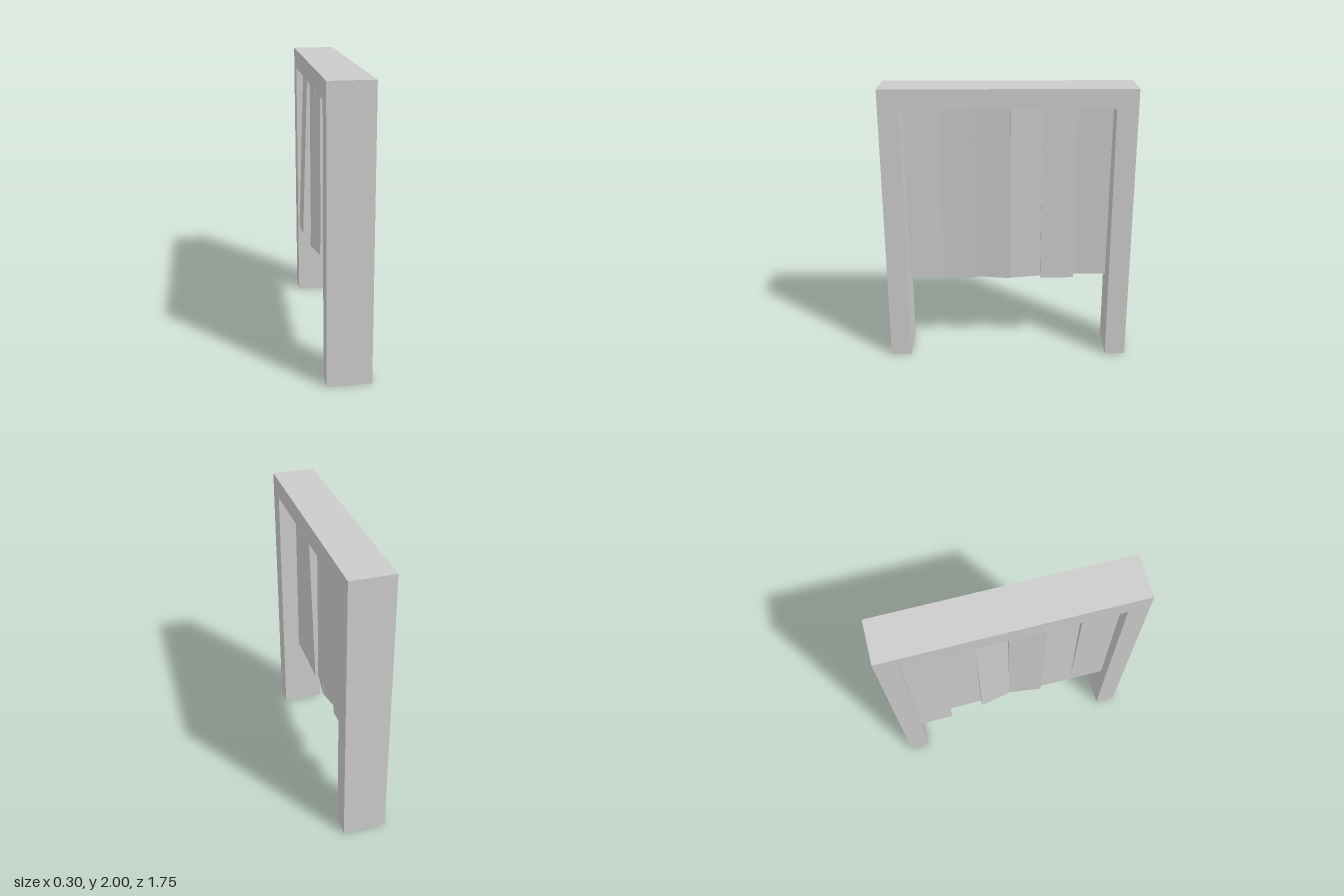
import * as THREE from 'three';

const material = new THREE.MeshStandardMaterial({ color: 0xcccccc, flatShading: true, side: THREE.DoubleSide });

// Rectangular section swept up one post, along the lintel and down the other; feet are open
function frameGeometry(halfDepth) {
  const outer = [[0.873, 0], [0.873, 2], [-0.873, 2], [-0.873, 0]];
  const inner = [[0.727, 0], [0.727, 1.863], [-0.727, 1.863], [-0.727, 0]];
  const positions = [];
  const index = [];
  outer.forEach(([oz, oy], i) => {
    const [iz, iy] = inner[i];
    positions.push(halfDepth, oy, oz, -halfDepth, oy, oz, -halfDepth, iy, iz, halfDepth, iy, iz);
    if (i === 3) return;
    for (let j = 0; j < 4; j++) {
      const a = i * 4 + j, b = i * 4 + (j + 1) % 4;
      index.push(b, a, a + 4, b, a + 4, b + 4);
    }
  });
  const indexed = new THREE.BufferGeometry();
  indexed.setAttribute('position', new THREE.Float32BufferAttribute(positions, 3));
  indexed.setIndex(index);
  const geometry = indexed.toNonIndexed();
  geometry.computeVertexNormals();
  return geometry;
}

// Box whose faces lean: face x is given at the +z and -z edges of the bottom, plus a lean towards the top
function plankGeometry(zStart, zEnd, xStart, xEnd, lean) {
  const thickness = 0.108, bottom = 0.573, top = 1.863;
  const geometry = new THREE.BoxGeometry(1, 1, 1);
  const p = geometry.attributes.position;
  for (let i = 0; i < p.count; i++) {
    const u = 0.5 - p.getZ(i), v = p.getY(i) + 0.5;
    const face = THREE.MathUtils.lerp(xStart, xEnd, u) + lean * v;
    p.setXYZ(i, face + (p.getX(i) - 0.5) * thickness,
      THREE.MathUtils.lerp(bottom, top, v), THREE.MathUtils.lerp(zStart, zEnd, u));
  }
  geometry.computeVertexNormals();
  return geometry;
}

export function createModel() {
  const model = new THREE.Group();
  model.name = 'plankDoorway';

  const frame = new THREE.Mesh(frameGeometry(0.152), material);
  frame.name = 'frame';
  model.add(frame);

  // Unevenly hung planks: z start, z end, x at start, x at end, lean at the top
  const planks = new THREE.Group();
  planks.name = 'planks';
  [
    [0.722, 0.47, 0.028, 0.028, 0],
    [0.472, 0.228, 0.027, 0.03, 0.042],
    [0.228, -0.015, 0.008, 0.042, 0],
    [-0.015, -0.24, 0.037, -0.005, 0.042],
    [-0.238, -0.482, 0.031, 0.029, 0],
    [-0.482, -0.725, -0.033, -0.033, 0.043],
  ].forEach((spec, i) => {
    const plank = new THREE.Mesh(plankGeometry(...spec), material);
    plank.name = `plank${i + 1}`;
    planks.add(plank);
  });
  model.add(planks);
  return model;
}
